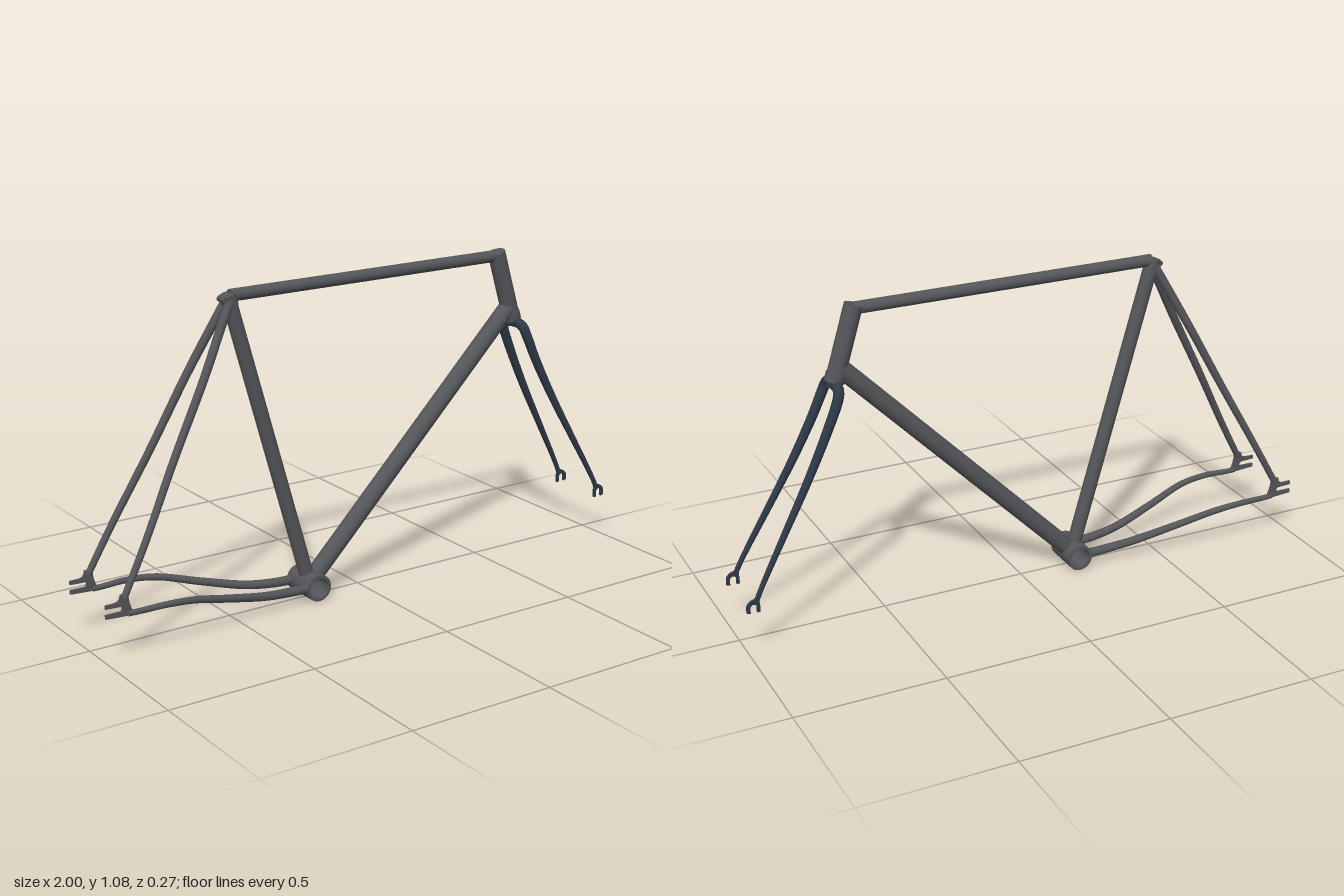
import * as THREE from 'three';

const V = (x, y, z = 0) => new THREE.Vector3(x, y, z);

export function createModel() {
  const group = new THREE.Group();
  const frameMat = new THREE.MeshStandardMaterial({ color: 0x55565a });
  const forkMat = new THREE.MeshStandardMaterial({ color: 0x2e3947 });

  const add = (name, geometry, material = frameMat) => {
    const mesh = new THREE.Mesh(geometry, material);
    mesh.name = name;
    group.add(mesh);
    return mesh;
  };

  // Straight capped tube between two points
  const rod = (name, a, b, r, material) => {
    const mesh = add(name, new THREE.CylinderGeometry(r, r, a.distanceTo(b), 32), material);
    mesh.position.lerpVectors(a, b, 0.5);
    mesh.quaternion.setFromUnitVectors(V(0, 1), b.clone().sub(a).normalize());
    return mesh;
  };

  // Bent tube whose radius goes linearly from r0 to r1
  const taperedTube = (points, r0, r1) => {
    const curve = new THREE.CatmullRomCurve3(points);
    const n = 64, sides = 16;
    const g = new THREE.TubeGeometry(curve, n, 1, sides);
    const p = g.attributes.position, v = V(0, 0);
    for (let i = 0; i <= n; i++) {
      const c = curve.getPointAt(i / n), r = THREE.MathUtils.lerp(r0, r1, i / n);
      for (let j = 0; j <= sides; j++) {
        const k = i * (sides + 1) + j;
        v.fromBufferAttribute(p, k).sub(c).multiplyScalar(r).add(c);
        p.setXYZ(k, v.x, v.y, v.z);
      }
    }
    return g;
  };

  // Flat plate cut from an outline, centred on z
  const plate = (name, shape, z, depth, material) => {
    const g = new THREE.ExtrudeGeometry(shape, { depth, bevelEnabled: false, curveSegments: 12 });
    g.translate(0, 0, z - depth / 2);
    return add(name, g, material);
  };

  // Bottom bracket shell, an open sleeve across the frame
  const bb = V(-0.195, 0.045);
  const ring = [[0.035, -0.065], [0.045, -0.065], [0.045, 0.065], [0.035, 0.065], [0.035, -0.065]];
  // Each wall of the sleeve is lathed separately to keep its edges sharp
  for (let i = 0; i < 4; i++) {
    const wall = [ring[i], ring[i + 1]].map(([r, h]) => new THREE.Vector2(r, h));
    const shell = add('bottomBracketShell', new THREE.LatheGeometry(wall, 40));
    shell.rotation.x = Math.PI / 2;
    shell.position.copy(bb);
  }

  // Main triangle
  const seatTop = V(-0.483, 1.055), headJoint = V(0.622, 0.87);
  const fromShell = (end) => bb.clone().add(end.clone().sub(bb).setLength(0.0345));
  rod('seatTube', fromShell(seatTop), seatTop, 0.024);
  rod('downTube', fromShell(headJoint), headJoint, 0.03);
  rod('topTube', V(-0.475, 1.053), V(0.57, 1.055), 0.02);

  // Head tube with its lower cup
  rod('headTube', V(0.568, 1.068), V(0.635, 0.846), 0.03);
  rod('lowerHeadCup', V(0.633, 0.853), V(0.641, 0.827), 0.033);

  // Seat clamp
  rod('seatClamp', V(-0.473, 1.02), V(-0.484, 1.058), 0.026);
  rod('seatClampBolt', V(-0.5, 1.043, -0.02), V(-0.5, 1.043, 0.02), 0.01);

  // Rear dropout outline, with a slot open to the back
  const rearShape = new THREE.Shape();
  rearShape.moveTo(-0.9, 0.142);
  rearShape.quadraticCurveTo(-0.922, 0.175, -0.922, 0.215);
  rearShape.lineTo(-0.948, 0.215);
  rearShape.quadraticCurveTo(-0.95, 0.192, -0.972, 0.192);
  rearShape.lineTo(-1, 0.192);
  rearShape.lineTo(-1, 0.18);
  rearShape.lineTo(-0.95, 0.178);
  rearShape.quadraticCurveTo(-0.937, 0.17, -0.948, 0.161);
  rearShape.lineTo(-1, 0.161);
  rearShape.lineTo(-1, 0.148);
  rearShape.closePath();

  // Fork dropout outline, a small hook open downwards
  const forkShape = new THREE.Shape();
  forkShape.moveTo(0.956, 0.147);
  forkShape.lineTo(0.966, 0.147);
  forkShape.lineTo(0.966, 0.166);
  forkShape.absarc(0.977, 0.166, 0.011, Math.PI, 0, true);
  forkShape.lineTo(0.988, 0.147);
  forkShape.lineTo(1, 0.15);
  forkShape.lineTo(0.999, 0.172);
  forkShape.quadraticCurveTo(0.992, 0.189, 0.973, 0.192);
  forkShape.lineTo(0.96, 0.208);
  forkShape.lineTo(0.949, 0.202);
  forkShape.quadraticCurveTo(0.96, 0.19, 0.956, 0.172);
  forkShape.closePath();

  for (const s of [1, -1]) {
    const side = s > 0 ? 'left' : 'right';

    // Rear stays and dropouts
    add(side + 'SeatStay', taperedTube([
      V(-0.48, 1.04, s * 0.012), V(-0.52, 0.968, s * 0.024), V(-0.6, 0.82, s * 0.05),
      V(-0.73, 0.58, s * 0.075), V(-0.85, 0.358, s * 0.107), V(-0.935, 0.202, s * 0.12),
    ], 0.015, 0.011));
    add(side + 'ChainStay', taperedTube([
      V(-0.233, 0.048, s * 0.048), V(-0.3, 0.051, s * 0.05), V(-0.4, 0.063, s * 0.06),
      V(-0.55, 0.1, s * 0.088), V(-0.7, 0.14, s * 0.118), V(-0.8, 0.15, s * 0.125),
      V(-0.88, 0.149, s * 0.122), V(-0.925, 0.149, s * 0.12),
    ], 0.016, 0.009));
    plate(side + 'RearDropout', rearShape, s * 0.12, 0.008);

    // Fork half: crown shoulder running into the raked blade
    add(side + 'ForkBlade', taperedTube([
      V(0.643, 0.819, 0), V(0.644, 0.818, s * 0.035), V(0.648, 0.807, s * 0.055),
      V(0.657, 0.782, s * 0.062), V(0.697, 0.69, s * 0.067), V(0.767, 0.55, s * 0.076),
      V(0.85, 0.4, s * 0.087), V(0.93, 0.257, s * 0.098), V(0.96, 0.2, s * 0.102),
    ], 0.018, 0.008), forkMat);
    plate(side + 'ForkDropout', forkShape, s * 0.102, 0.008, forkMat);
  }

  // Fork crown under the head tube
  rod('forkCrown', V(0.639, 0.835), V(0.645, 0.81), 0.024, forkMat);

  return group;
}
